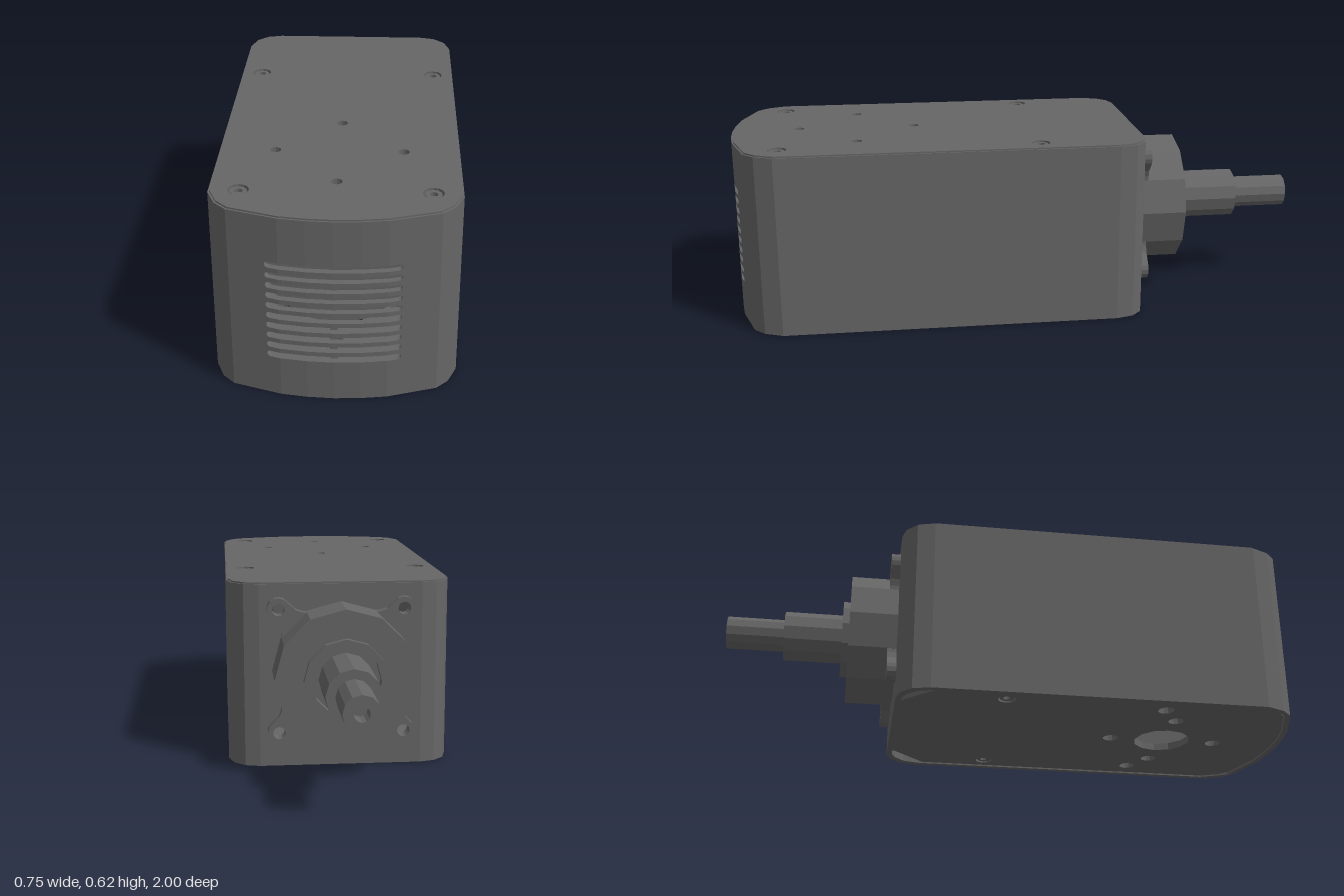
import * as THREE from 'three';

const material = new THREE.MeshStandardMaterial({ color: 0x666666, flatShading: true });
const WALL = 0.02, TOP = 0.615, VENT_LOW = 0.12, VENT_HIGH = 0.48, VENT_X = 0.31, SLOT_X = 0.19;
const AXIS_Y = 0.328, EAR = 0.207, EAR_HOLE = 0.021;

// Right half of the housing outline (x, z): curved front, then side and back corner
const FRONT = [[0, 1], [0.08, 0.996], [0.16, 0.985], [0.31, 0.938]];
const SIDE = [[0.347, 0.902], [0.374, 0.84], [0.374, -0.3], [0.357, -0.36], [0.32, -0.395], [0.27, -0.408]];

const insetPoints = (points, d) => points.map(([x, z]) =>
  [x * (1 - d / 0.374), 0.295 + (z - 0.295) * (1 - d / 0.7)]);
const toShape = (points) => new THREE.Shape(points.map(([x, z]) => new THREE.Vector2(x, -z)));
const mirrored = (half) => toShape([...half, ...half.slice(1).reverse().map(([x, z]) => [-x, z])]);

function addMesh(parent, name, geometry) {
  const mesh = new THREE.Mesh(geometry, material);
  mesh.name = name;
  parent.add(mesh);
  return mesh;
}

// Horizontal slab from a plan shape (x, -z)
function slab(shape, y0, y1) {
  return new THREE.ExtrudeGeometry(shape, { depth: y1 - y0, bevelEnabled: false, curveSegments: 6 })
    .rotateX(-Math.PI / 2).translate(0, y0, 0);
}

function circleHole(x, y, r) {
  return new THREE.Path().absarc(x, y, r, 0, Math.PI * 2, true);
}

// Front surface depth at a given x
function frontZ(x) {
  const a = Math.abs(x);
  const i = Math.max(1, FRONT.findIndex(([px]) => px >= a - 1e-6));
  const [x0, z0] = FRONT[i - 1], [x1, z1] = FRONT[i];
  return z0 + (z1 - z0) * (a - x0) / (x1 - x0);
}

// Plan of the curved front wall out to a given half width
function frontBand(halfWidth) {
  const xs = [-halfWidth, -0.16, -0.08, 0, 0.08, 0.16, halfWidth];
  return toShape([...xs.map((x) => [x, frontZ(x)]), ...xs.reverse().map((x) => [x, frontZ(x) - WALL])]);
}

function addVents(group) {
  const slots = Array.from({ length: 10 }, (_, i) => 0.143 + i * 0.0348);
  const r = 0.01;

  // Curved bars between the slots
  const band = frontBand(SLOT_X);
  for (let i = 0; i <= slots.length; i++) {
    const low = i === 0 ? VENT_LOW : slots[i - 1] + r;
    const high = i === slots.length ? VENT_HIGH : slots[i] - r;
    addMesh(group, 'ventBar', slab(band, low, high));
  }

  // Side panels with the rounded slot ends
  for (const side of [-1, 1]) {
    const shape = new THREE.Shape();
    shape.moveTo(side * SLOT_X, VENT_LOW);
    for (const y of slots) {
      for (let k = 0; k <= 6; k++) {
        const a = -Math.PI / 2 + k * Math.PI / 6;
        shape.lineTo(side * (SLOT_X + r * Math.cos(a)), y + r * Math.sin(a));
      }
    }
    shape.lineTo(side * SLOT_X, VENT_HIGH);
    shape.lineTo(side * VENT_X, VENT_HIGH);
    shape.lineTo(side * VENT_X, VENT_LOW);
    const geometry = new THREE.ExtrudeGeometry(shape, { depth: WALL, bevelEnabled: false });
    const pos = geometry.attributes.position;
    for (let i = 0; i < pos.count; i++) pos.setZ(i, pos.getZ(i) - WALL + frontZ(pos.getX(i)));
    geometry.computeVertexNormals();
    addMesh(group, 'ventSidePanel', geometry);
  }

  // Upright rib behind the slots
  addMesh(group, 'ventRib', new THREE.BoxGeometry(0.022, VENT_HIGH - VENT_LOW, 0.025))
    .position.set(0, (VENT_LOW + VENT_HIGH) / 2, 0.968);
}

function addHousing(group) {
  // Front wall below and above the vents
  const band = frontBand(VENT_X);
  addMesh(group, 'lowerFrontWall', slab(band, 0, VENT_LOW));
  addMesh(group, 'upperFrontWall', slab(band, VENT_HIGH, TOP));

  // Side walls with the rounded corners
  const plan = [FRONT[3], ...SIDE, [0.27, -0.388],
    ...insetPoints(SIDE.slice(0, 5), WALL).reverse(), [VENT_X, frontZ(VENT_X) - WALL]];
  for (const side of [-1, 1]) {
    addMesh(group, 'sideWall', slab(toShape(plan.map(([x, z]) => [side * x, z])), 0, TOP));
  }

  // Back wall with bolt holes
  const back = new THREE.Shape();
  back.moveTo(-0.27, 0).lineTo(0.27, 0).lineTo(0.27, TOP).lineTo(-0.27, TOP);
  for (const sx of [-1, 1]) {
    for (const sy of [-1, 1]) back.holes.push(circleHole(sx * EAR, AXIS_Y + sy * EAR, EAR_HOLE));
  }
  addMesh(group, 'backWall', new THREE.ExtrudeGeometry(back, { depth: WALL, bevelEnabled: false, curveSegments: 6 }))
    .position.z = -0.408;
}

function addScrew(parent, x, y, z, flip) {
  const profile = [[0, -0.018], [0.024, -0.018], [0.026, 0], [0.013, 0], [0.013, -0.012], [0, -0.012]];
  const screw = addMesh(parent, 'screw',
    new THREE.LatheGeometry(profile.map(([r, h]) => new THREE.Vector2(r, h)), 12));
  screw.position.set(x, y, z);
  if (flip) screw.rotation.x = Math.PI;
}

function addPlates(group) {
  const mounts = [[0, -1], [1, 0], [-1, 0], [0, 1]];

  // Lid with mounting holes and four sunk screws
  const lid = mirrored(insetPoints([...FRONT, ...SIDE], 0.005));
  const lidScrews = [[0.305, -0.04], [-0.305, -0.04], [0.285, 0.83], [-0.285, 0.83]];
  mounts.forEach(([x, z]) => lid.holes.push(circleHole(x * 0.2, -0.57 - z * 0.2, 0.018)));
  lidScrews.forEach(([x, z]) => {
    lid.holes.push(circleHole(x, -z, 0.032));
    addScrew(group, x, 0.616, z, false);
  });
  addMesh(group, 'lid', slab(lid, 0.598, 0.62));

  // Base plate, cut off at the back corners
  const base = mirrored([...insetPoints([...FRONT, ...SIDE.slice(0, 2)], WALL), [0.354, -0.27], [0.24, -0.388]]);
  base.holes.push(circleHole(0, -0.57, 0.1));
  mounts.forEach(([x, z]) => base.holes.push(circleHole(x * 0.19, -0.57 - z * 0.19, 0.027)));
  for (const side of [-1, 1]) {
    base.holes.push(circleHole(side * 0.28, -0.51, 0.028));
    base.holes.push(circleHole(side * 0.3, 0.04, 0.03));
    addScrew(group, side * 0.3, 0.009, -0.04, true);
  }
  addMesh(group, 'basePlate', slab(base, 0.005, 0.03));
}

function addDrive(group) {
  const drive = new THREE.Group();
  drive.name = 'drive';
  drive.position.y = AXIS_Y;
  group.add(drive);

  // Flange with four ears that flare into the hub
  const flange = new THREE.Shape();
  const r = 0.038;
  const flare = [[0.256, 0.15], [0.236, 0.21], [0.218, 0.33]];
  for (let i = 0; i < 4; i++) {
    const mid = Math.PI / 4 + i * Math.PI / 2;
    const cx = EAR * Math.SQRT2 * Math.cos(mid), cy = EAR * Math.SQRT2 * Math.sin(mid);
    const point = (x, y) => (i === 0 && flange.curves.length === 0 && flange.currentPoint.lengthSq() === 0
      ? flange.moveTo(x, y) : flange.lineTo(x, y));
    [...flare].reverse().forEach(([d, t]) => point(d * Math.cos(mid - t), d * Math.sin(mid - t)));
    for (let k = 0; k <= 8; k++) {
      const a = mid + (k / 8 - 0.5) * Math.PI * 1.1;
      point(cx + r * Math.cos(a), cy + r * Math.sin(a));
    }
    flare.forEach(([d, t]) => point(d * Math.cos(mid + t), d * Math.sin(mid + t)));
    flange.holes.push(circleHole(cx, cy, EAR_HOLE));
  }
  addMesh(drive, 'flange', new THREE.ExtrudeGeometry(flange, { depth: 0.033, bevelEnabled: false, curveSegments: 6 }))
    .position.z = -0.44;

  // Turned parts: radius and distance behind the centre
  const turned = {
    motorBody: [[0, -0.755], [0.23, -0.755], [0.23, 0.38], [0, 0.38]],
    hub: [[0, 0.4], [0.228, 0.4], [0.228, 0.573], [0.136, 0.573], [0.136, 0.597], [0.112, 0.597], [0.112, 0.56], [0, 0.56]],
    shaft: [[0, 0.55], [0.087, 0.55], [0.087, 0.8], [0.057, 0.8], [0.057, 1], [0.024, 1], [0.024, 0.93], [0, 0.93]],
  };
  for (const [name, profile] of Object.entries(turned)) {
    addMesh(drive, name, new THREE.LatheGeometry(profile.map(([x, y]) => new THREE.Vector2(x, y)), 12)
      .rotateX(-Math.PI / 2));
  }
}

export function createModel() {
  const group = new THREE.Group();
  group.name = 'motorUnit';
  addHousing(group);
  addVents(group);
  addPlates(group);
  addDrive(group);
  return group;
}
